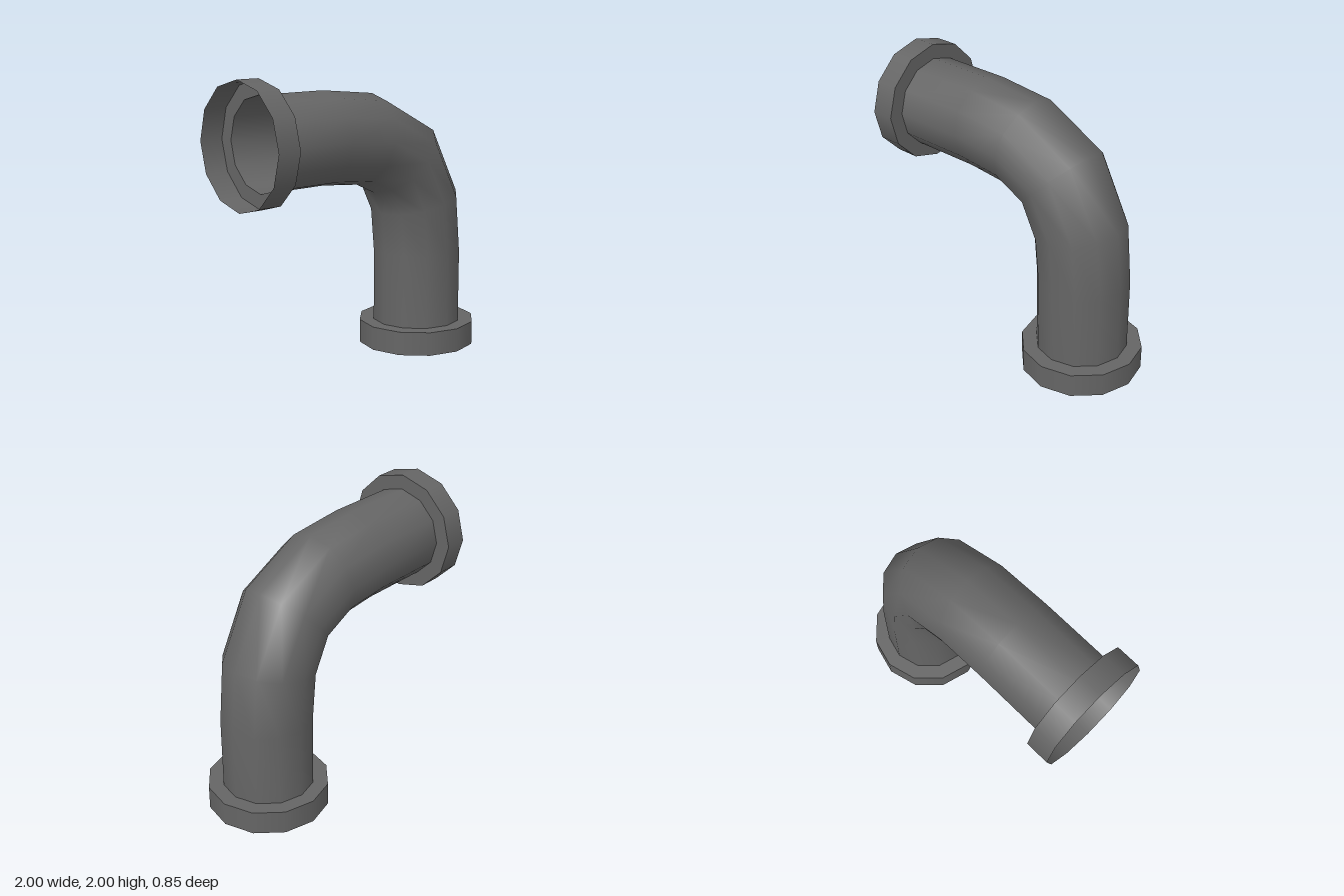
import * as THREE from 'three';

const SIDES = 12, PIPE_R = 0.32, FLANGE_R = 0.425, FLANGE_H = 0.17;
const AXIS_X = 0.575, AXIS_Y = 1.575;

// Tube skin through tilted rings: [centre x, centre y, tilt in degrees]
function pipeGeometry(rings) {
  const pos = [], index = [];
  for (const [x, y, tilt] of rings) {
    const t = THREE.MathUtils.degToRad(tilt);
    for (let i = 0; i < SIDES; i++) {
      const a = (i / SIDES) * Math.PI * 2, c = Math.cos(a) * PIPE_R;
      pos.push(x + c * Math.sin(t), y + c * Math.cos(t), Math.sin(a) * PIPE_R);
    }
  }
  for (let j = 0; j < rings.length - 1; j++) {
    for (let i = 0; i < SIDES; i++) {
      const a = j * SIDES + i, b = j * SIDES + (i + 1) % SIDES;
      index.push(a, b, a + SIDES, b, b + SIDES, a + SIDES);
    }
  }
  const g = new THREE.BufferGeometry();
  g.setAttribute('position', new THREE.Float32BufferAttribute(pos, 3));
  g.setIndex(index);
  g.computeVertexNormals();
  return g;
}

// Open collar: thin outer wall and a flat shoulder meeting the pipe
function makeFlange(name, material) {
  const flange = new THREE.Group();
  flange.name = name;
  const wall = new THREE.Mesh(
    new THREE.CylinderGeometry(FLANGE_R, FLANGE_R, FLANGE_H, SIDES, 1, true), material);
  wall.name = 'flangeWall';
  wall.position.y = FLANGE_H / 2;
  const shoulder = new THREE.Mesh(new THREE.RingGeometry(PIPE_R, FLANGE_R, SIDES), material);
  shoulder.name = 'flangeShoulder';
  shoulder.rotation.x = -Math.PI / 2;
  shoulder.position.y = FLANGE_H;
  flange.add(wall, shoulder);
  return flange;
}

export function createModel() {
  const model = new THREE.Group();
  model.name = 'pipeElbow';
  const metal = new THREE.MeshStandardMaterial({ color: 0x656565, side: THREE.DoubleSide });
  metal.name = 'darkGreyMetal';

  // Pipe: horizontal run, bend, vertical run
  const pipe = new THREE.Mesh(pipeGeometry([
    [-1 + FLANGE_H, AXIS_Y, 0],
    [-0.31, AXIS_Y, 0],
    [0.06, 1.54, 12.5],
    [0.375, 1.38, 45],
    [0.54, 1.06, 77.5],
    [AXIS_X, 0.69, 90],
    [AXIS_X, FLANGE_H, 90],
  ]), metal);
  pipe.name = 'pipe';

  // Flanges at both open ends
  const bottom = makeFlange('bottomFlange', metal);
  bottom.position.x = AXIS_X;
  const side = makeFlange('sideFlange', metal);
  side.rotation.z = -Math.PI / 2;
  side.position.set(-1, AXIS_Y, 0);

  model.add(pipe, bottom, side);
  return model;
}
